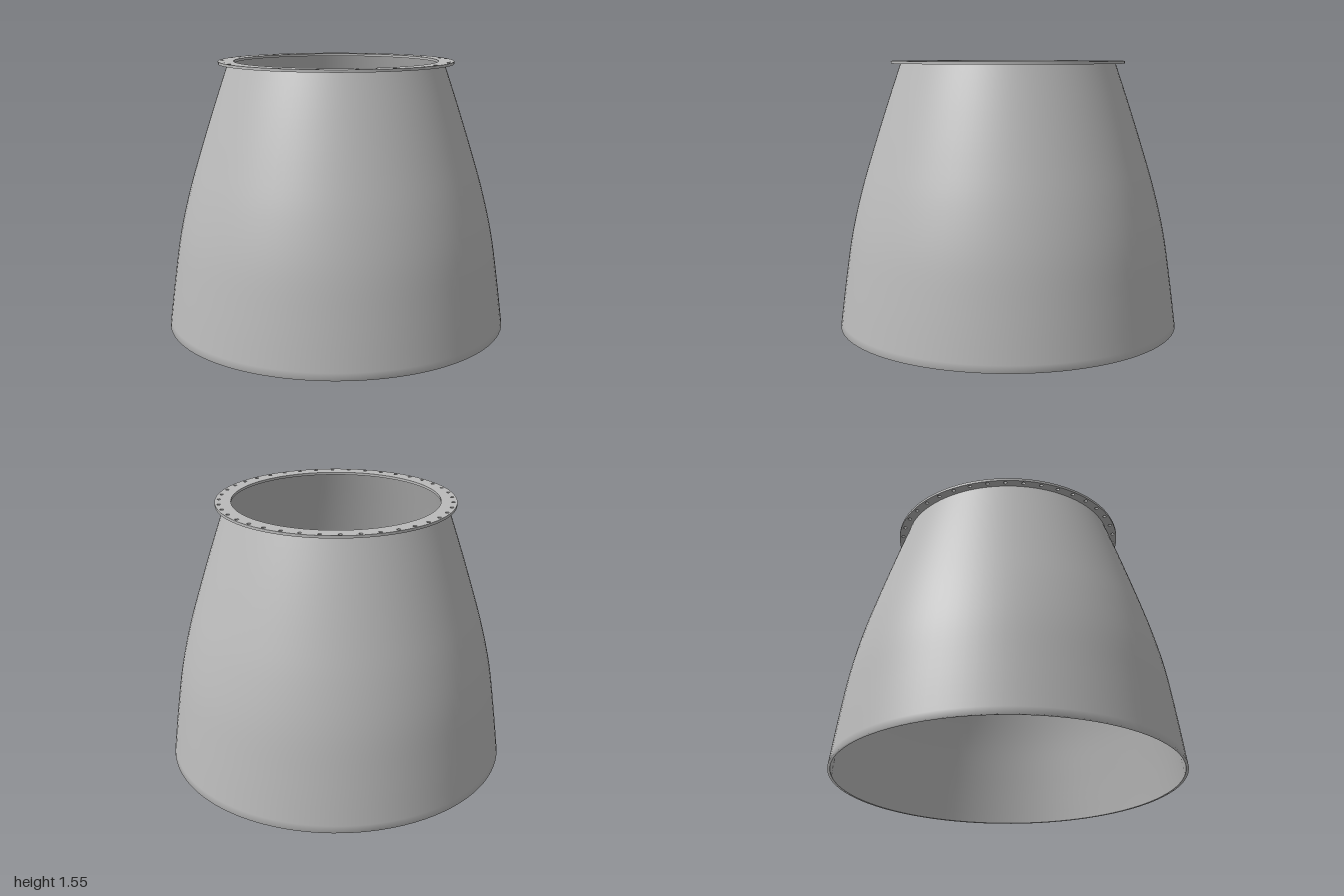
import * as THREE from 'three';
import { toCreasedNormals } from 'three/addons/utils/BufferGeometryUtils.js';

const SEGMENTS = 96;
const HEIGHT = 1.55;
const FLANGE_THICKNESS = 0.015;
const WALL = 0.015;

// Points round a circle, for shape outlines and holes
function circle(radius, count, cx = 0, cy = 0) {
  return Array.from({ length: count }, (_, i) => {
    const a = (i / count) * Math.PI * 2;
    return new THREE.Vector2(cx + radius * Math.cos(a), cy + radius * Math.sin(a));
  });
}

export function createModel() {
  const model = new THREE.Group();
  model.name = 'flangedBell';
  const metal = new THREE.MeshStandardMaterial({ color: 0xbababa });
  metal.name = 'grey metal';

  const add = (name, geometry, parent) => {
    const mesh = new THREE.Mesh(geometry, metal);
    mesh.name = name;
    parent.add(mesh);
    return mesh;
  };

  // Bulging wall profile, from just above the lip up to the flange
  const wallTop = HEIGHT - FLANGE_THICKNESS;
  const profile = new THREE.SplineCurve([
    new THREE.Vector2(0.995, 0.04),
    new THREE.Vector2(0.963, 0.28),
    new THREE.Vector2(0.921, 0.55),
    new THREE.Vector2(0.862, 0.8),
    new THREE.Vector2(0.79, 1.04),
    new THREE.Vector2(0.706, 1.3),
    new THREE.Vector2(0.626, wallTop),
  ]).getPoints(30);

  // Thin shell: outside with a softened bottom lip, then the inside facing inwards
  const shell = new THREE.Group();
  shell.name = 'shell';
  model.add(shell);
  const outer = [new THREE.Vector2(1 - WALL, 0), new THREE.Vector2(1, 0), ...profile];
  add('outerWall', new THREE.LatheGeometry(outer, SEGMENTS), shell);
  const inner = profile.map((p) => new THREE.Vector2(p.x - WALL, p.y)).reverse();
  inner.push(new THREE.Vector2(1 - WALL, 0));
  add('innerWall', new THREE.LatheGeometry(inner, SEGMENTS), shell);

  // Flat flange ring with forty bolt holes
  const ring = new THREE.Shape(circle(0.68, SEGMENTS));
  ring.holes.push(new THREE.Path(circle(0.59, SEGMENTS)));
  const holes = 40;
  for (let i = 0; i < holes; i++) {
    const a = ((i + 0.5) / holes) * Math.PI * 2;
    ring.holes.push(new THREE.Path(circle(0.011, 12, 0.658 * Math.cos(a), 0.658 * Math.sin(a))));
  }
  const flange = new THREE.ExtrudeGeometry(ring, { depth: FLANGE_THICKNESS, bevelEnabled: false });
  flange.rotateX(-Math.PI / 2);
  add('topFlange', toCreasedNormals(flange, 0.6), model).position.y = wallTop;

  return model;
}
